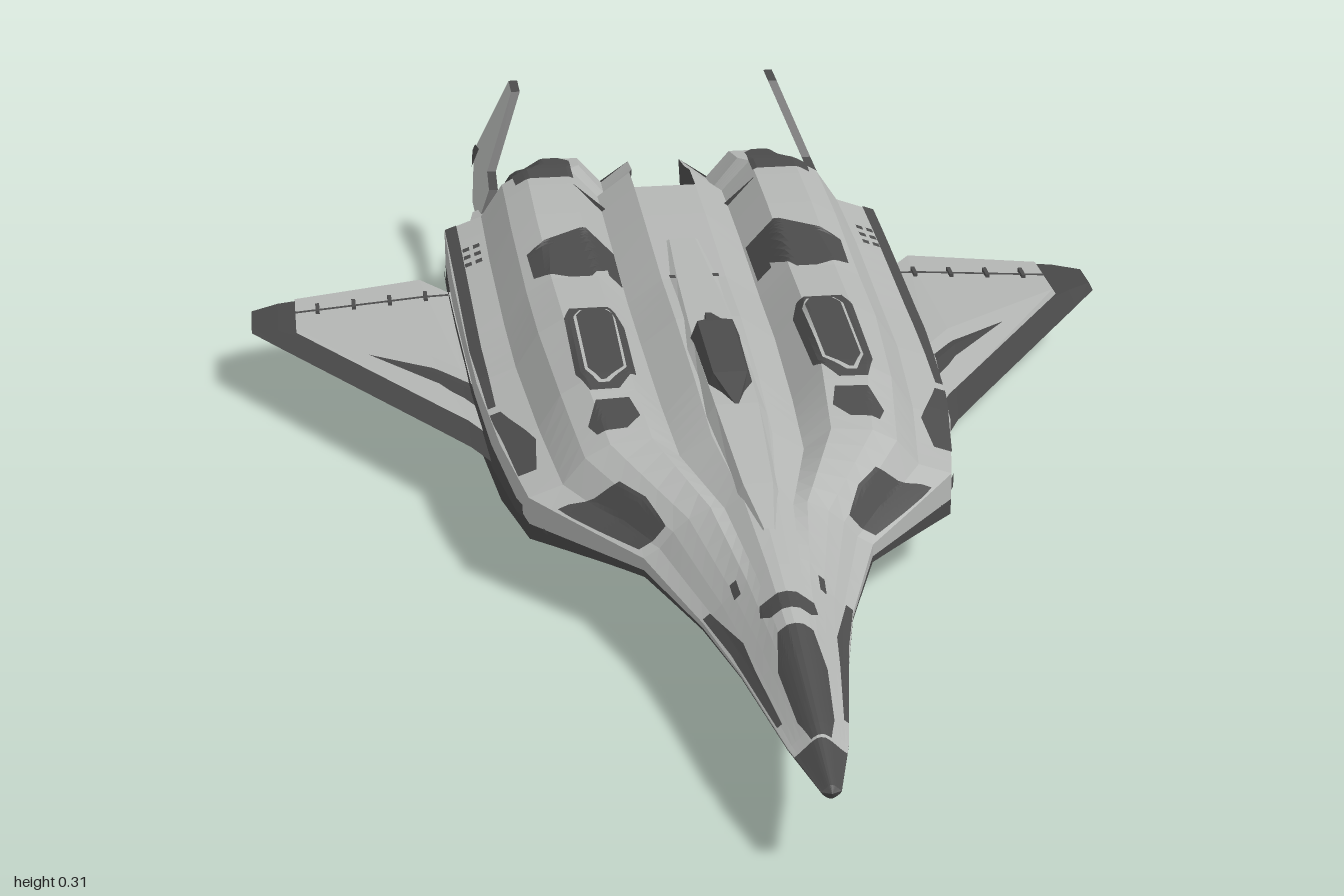
import * as THREE from 'three';

const mat = (name, color) => Object.assign(new THREE.MeshStandardMaterial({ color, flatShading: true }), { name });

// Hull stations: z, half width, chine y, top y, bottom y, blend from nose to full section
const STATIONS = [
  [0.995, 0.012, 0.117, 0.126, 0.108, 0], [0.9, 0.036, 0.12, 0.15, 0.1, 0],
  [0.72, 0.066, 0.12, 0.185, 0.09, 0], [0.58, 0.095, 0.115, 0.2, 0.08, 0.1],
  [0.41, 0.15, 0.113, 0.217, 0.068, 0.35], [0.25, 0.285, 0.11, 0.232, 0.05, 0.8],
  [0.1, 0.312, 0.105, 0.248, 0.036, 1], [-0.1, 0.33, 0.105, 0.255, 0.02, 1],
  [-0.26, 0.335, 0.105, 0.25, 0.004, 1], [-0.5, 0.34, 0.105, 0.257, 0.025, 1],
  [-0.62, 0.34, 0.105, 0.258, 0.034, 1], [-0.69, 0.34, 0.105, 0.256, 0.04, 1],
  [-0.71, 0.3, 0.105, 0.254, 0.042, 1], [-0.78, 0.29, 0.105, 0.24, 0.05, 1],
];
// Half sections from top centre, round the chine, to bottom centre
const NOSE = [[0, 1], [.15, .97], [.3, .85], [.42, .72], [.6, .5], [.75, .32], [.88, .17], [1, .05], [1, 0],
  [1, -.05], [.85, -.35], [.6, -.65], [.3, -.9], [.2, -.95], [.1, -1], [0, -1]];
const FULL = [[0, .93], [.14, .93], [.29, .68], [.42, 1], [.62, 1], [.73, .86], [.83, .52], [1, .38], [1, 0],
  [1, -.45], [.88, -.58], [.55, -.88], [.25, -.88], [.17, -.72], [.09, -1], [0, -1]];
const CHINE = 8, INNER = 1, KEEL = 13, SPLIT = -0.62;
const lerp = THREE.MathUtils.lerp;

function section(z) {
  let i = 0;
  while (i < STATIONS.length - 2 && z < STATIONS[i + 1][0]) i++;
  const a = STATIONS[i], b = STATIONS[i + 1];
  const t = THREE.MathUtils.clamp((z - a[0]) / (b[0] - a[0]), 0, 1);
  const [, w, yc, yt, yb, k] = a.map((v, j) => lerp(v, b[j], t));
  return NOSE.map(([u, v], j) => {
    const h = lerp(v, FULL[j][1], k);
    return [lerp(u, FULL[j][0], k) * w, yc + h * (h > 0 ? yt - yc : yc - yb), z];
  });
}

// Height of the upper or lower hull at x, z
function hullY(x, z, lower = false) {
  const s = lower ? section(z).slice(CHINE + 1).reverse() : section(z).slice(0, CHINE);
  for (let j = 0; j < s.length - 1; j++) {
    if (x <= s[j + 1][0]) return lerp(s[j][1], s[j + 1][1], (x - s[j][0]) / (s[j + 1][0] - s[j][0]));
  }
  return s[s.length - 1][1];
}

// Surface through rows of points
function skin(rows) {
  const n = rows[0].length, index = [];
  for (let i = 0; i < rows.length - 1; i++) for (let j = 0; j < n - 1; j++) {
    const a = i * n + j, b = a + n;
    index.push(a, a + 1, b, a + 1, b + 1, b);
  }
  const g = new THREE.BufferGeometry();
  g.setAttribute('position', new THREE.Float32BufferAttribute(rows.flat(2), 3));
  g.setIndex(index);
  const out = g.toNonIndexed();
  out.computeVertexNormals();
  return out;
}

function mirrored(geo) {
  const g = geo.index ? geo.toNonIndexed() : geo.clone();
  const p = g.attributes.position;
  for (let i = 0; i < p.count; i += 3) {
    const [a, b, c] = [0, 1, 2].map(k => new THREE.Vector3().fromBufferAttribute(p, i + k));
    [a, c, b].forEach((v, k) => p.setXYZ(i + k, -v.x, v.y, v.z));
  }
  g.computeVertexNormals();
  return g;
}

// Thin panel laid on the hull; rows are [z, inner x, outer x] with z falling
function drape(rows, lift = 0.005, lower = false) {
  const grid = [];
  for (let i = 0; i < rows.length - 1; i++) for (let s = i ? 1 : 0; s <= 6; s++) {
    const [z, x0, x1] = rows[i].map((v, k) => lerp(v, rows[i + 1][k], s / 6));
    grid.push(Array.from({ length: 13 }, (_, k) => {
      const x = lerp(x0, x1, k / 12);
      return [x, hullY(x, z, lower) + (lower ? -lift : lift), z];
    }));
  }
  return skin(lower ? grid.reverse() : grid);
}

const inset = (rows, d) => rows.map(([z, a, b], i) =>
  [z + (i === 0 ? -d : i === rows.length - 1 ? d : 0), a + d, b - d]);

export function createModel() {
  const light = mat('light grey hull', 0xb4b6b4), dark = mat('dark grey panels', 0x4c4c4c);
  const under = mat('charcoal underside', 0x484848), metal = mat('engine metal', 0x424242);
  metal.side = THREE.DoubleSide;
  const model = new THREE.Group();
  model.name = 'spaceplane';
  const add = (name, geo, m) => {
    const mesh = new THREE.Mesh(geo, m);
    mesh.name = name;
    model.add(mesh);
  };
  const pair = (name, geo, m) => { add(name + 'Left', geo, m); add(name + 'Right', mirrored(geo), m); };

  // Hull: light upper skin, dark underside and nose tip
  const zs = [];
  for (let i = 0; i < STATIONS.length - 1; i++) for (let s = 0; s < 5; s++)
    zs.push(lerp(STATIONS[i][0], STATIONS[i + 1][0], s / 5));
  zs.push(-0.78);
  const between = (hi, lo) => zs.filter(z => z <= hi + 1e-6 && z >= lo - 1e-6).map(section);
  const body = between(1, SPLIT), last = body[body.length - 1];
  const tipEnd = 4, point = section(1).map(() => [0, 0.117, 1]);
  pair('upperHull', skin(body.slice(tipEnd).map(s => s.slice(0, CHINE + 1))), light);
  pair('noseTip', skin([point, ...body.slice(0, tipEnd + 1)].map(s => s.slice(0, CHINE + 1))), dark);
  pair('lowerHull', skin([point, ...body].map(s => s.slice(CHINE))), under);
  pair('hullRearWall', skin([last, last.map(() => [0, 0.13, SPLIT])]), under);

  // Dark band along the chine wall
  pair('chineBand', skin([[0.28, 0], [0.2, 0.016], [0.05, 0.03], [-0.15, 0.036], [-0.4, 0.026], [-0.55, 0.014], [-0.67, 0]]
    .map(([z, h]) => {
      const [x, y] = section(z)[CHINE];
      return [[x + 0.004, y + h, z], [x + 0.004, y - 0.004, z]];
    })), dark);

  // Twin engine nacelles either side of the rear notch
  const aft = between(SPLIT, -0.78), end = aft[aft.length - 1].slice(INNER, KEEL + 1);
  pair('nacelleTop', skin(aft.map(s => s.slice(INNER, CHINE + 1))), light);
  pair('nacelleBottom', skin(aft.map(s => s.slice(CHINE, KEEL + 1))), under);
  pair('nacelleInnerWall', skin(aft.map(s => [s[KEEL], s[INNER]])), dark);
  const loop = [...end, end[0]];
  pair('nacelleRearWall', skin([loop, loop.map(() => [0.17, 0.14, -0.78])]), metal);
  add('centreBlock', new THREE.BoxGeometry(0.085, 0.1, 0.08).translate(0, 0.16, -0.635), dark);

  // Engine bells
  const bell = [[0, -0.02], [0.022, -0.02], [0.028, 0.065], [0.033, 0.065], [0.034, 0.04], [0.028, 0.03], [0.03, -0.02]]
    .map(p => new THREE.Vector2(...p)).reverse();
  for (const [x, y] of [[0.134, 0.168], [0.202, 0.168], [0.13, 0.1], [0.205, 0.1], [0.168, 0.134]])
    pair('engineBell', new THREE.LatheGeometry(bell, 16).rotateX(-Math.PI / 2).translate(x, y, -0.78), metal);

  // Wings: span stations x, leading z, trailing z, half thickness; listed tip to root
  const span = [[0.645, -0.45, -0.535, 0.002], [0.605, -0.39, -0.56, 0.006], [0.385, -0.065, -0.62, 0.018],
    [0.345, -0.005, -0.565, 0.02], [0.28, 0.13, -0.55, 0.024]];
  const wingY = (s, t) => 0.107 + s[3] * (t < 0.3 ? t / 0.3 : (1 - t) / 0.7);
  const at = (s, t, y) => [s[0], y, lerp(s[1], s[2], t)];
  pair('wing', skin(span.map(s => [at(s, 0, 0.107), at(s, 0.3, 0.107 + s[3]), at(s, 1, 0.107),
    at(s, 0.3, 0.107 - s[3]), at(s, 0, 0.107)])), under);
  const tip = span[1].map((v, i) => lerp(v, span[2][i], 0.12));
  const onWing = (s, z, lift) => {
    const t = (z - s[1]) / (s[2] - s[1]);
    return [s[0], wingY(s, t) + lift, z];
  };
  pair('wingPanel', skin([tip, ...span.slice(2)].map(s => [s[1] - 0.065, lerp(s[1], s[2], 0.4), s[2] + 0.002]
    .map(z => onWing(s, z, 0.004)))), light);
  pair('flapHinge', skin([tip, span[2], span[3]].map((s, i) => [0, -0.008]
    .map(d => onWing(s, [-0.495, -0.53, -0.54][i] + d, 0.006)))), dark);
  for (let i = 0; i < 4; i++)
    pair('flapBracket', new THREE.BoxGeometry(0.006, 0.008, 0.03).translate(0.38 + i * 0.055, 0.116, -0.535 + i * 0.009), dark);

  // Inward-leaning tail fins
  const fin = new THREE.ExtrudeGeometry(new THREE.Shape([[-0.74, 0.15], [-0.76, 0.2], [-0.83, 0.205], [-0.895, 0.315],
    [-0.95, 0.315], [-1, 0.18], [-0.85, 0.148]].map(p => new THREE.Vector2(...p))), { depth: 0.014, bevelEnabled: false });
  fin.rotateY(-Math.PI / 2);
  const lean = y => 0.285 - (y - 0.15) * 0.42;
  const fp = fin.attributes.position;
  for (let i = 0; i < fp.count; i++) fp.setX(i, fp.getX(i) + lean(fp.getY(i)));
  fin.computeVertexNormals();
  const finRight = mirrored(fin);
  finRight.clearGroups();
  fin.groups.forEach(g => finRight.addGroup(g.start, g.count, g.materialIndex));
  add('tailFinLeft', fin, [light, dark]);
  add('tailFinRight', finRight, [light, dark]);
  pair('finTrailingPatch', skin([[-0.95, 0.17, 0.2], [-0.996, 0.181, 0.192]]
    .map(([z, lo, hi]) => [[lean(hi) + 0.003, hi, z], [lean(lo) + 0.003, lo, z]])), dark);

  // Raised spine and dark dorsal housing: rows of z, half width, top y
  const hump = rows => skin(rows.map(([z, w, y]) => [[0, y, z], [w * 0.65, y, z], [w, hullY(w, z) - 0.004, z]]));
  pair('spine', hump([[0.5, 0.01, 0.208], [0.4, 0.03, 0.224], [0.2, 0.045, 0.246], [0, 0.05, 0.25],
    [-0.25, 0.04, 0.246], [-0.4, 0.03, 0.246]]), light);
  pair('dorsalHousing', hump([[0.2, 0.004, 0.246], [0.135, 0.036, 0.264], [-0.025, 0.038, 0.272], [-0.04, 0.016, 0.268],
    [-0.1, 0.006, 0.252]]), dark);

  // Nose canopy and windscreen
  pair('canopy', drape([[0.92, 0, 0.012], [0.88, 0, 0.022], [0.78, 0, 0.03], [0.72, 0, 0.022]]), dark);
  pair('windscreen', drape([[0.685, 0, 0.025], [0.67, 0, 0.036], [0.65, 0, 0.034]]), dark);

  // Framed bay windows on the nacelle shoulders
  const bay = [[0.13, 0.15, 0.19], [0.08, 0.122, 0.205], [-0.09, 0.12, 0.205], [-0.125, 0.13, 0.195]];
  pair('bayFrame', drape(bay, 0.004), dark);
  pair('bayRing', drape(inset(bay, 0.013), 0.006), light);
  pair('bayWindow', drape(inset(bay, 0.017), 0.008), dark);

  // Dark hull patches
  const patches = {
    forePatch: [[0.225, 0.15, 0.19], [0.2, 0.13, 0.2], [0.155, 0.14, 0.185]],
    aftPatch: [[-0.25, 0.15, 0.18], [-0.28, 0.135, 0.232], [-0.37, 0.1, 0.235], [-0.43, 0.1, 0.15]],
    rearHatch: [[-0.64, 0.14, 0.23], [-0.73, 0.14, 0.235], [-0.76, 0.155, 0.225]],
    shoulderPatch: [[0.4, 0.12, 0.155], [0.35, 0.14, 0.2], [0.31, 0.17, 0.235], [0.29, 0.235, 0.25]],
    flankPatch: [[0.2, 0.27, 0.295], [0.13, 0.265, 0.305], [0.05, 0.295, 0.317], [0.02, 0.305, 0.32]],
    noseEdgePatch: [[0.86, 0.037, 0.043], [0.74, 0.052, 0.063], [0.68, 0.058, 0.073], [0.58, 0.086, 0.095]],
    chineStrip: [[0, 0.31, 0.321], [-0.2, 0.316, 0.333], [-0.68, 0.322, 0.34]],
    spineVent: [[-0.3, 0.1, 0.12], [-0.38, 0.1, 0.12]],
    bowVent: [[0.6, 0.05, 0.058], [0.57, 0.052, 0.06]],
    spineSlot: [[-0.25, 0.012, 0.036], [-0.262, 0.012, 0.036]],
  };
  for (const [name, rows] of Object.entries(patches)) pair(name, drape(rows), dark);
  for (let i = 0; i < 6; i++) {
    const z = -0.5 - 0.03 * (i % 3), x = i < 3 ? 0.293 : 0.309;
    pair('port', drape([[z, x, x + 0.01], [z - 0.014, x, x + 0.01]]), dark);
  }

  // Light vents under the hull
  for (const rows of [[[0.41, 0.07, 0.085], [0.36, 0.08, 0.1]], [[-0.5, 0.23, 0.25], [-0.55, 0.23, 0.25]]])
    pair('bellyVent', drape(rows, 0.004, true), light);
  return model;
}
